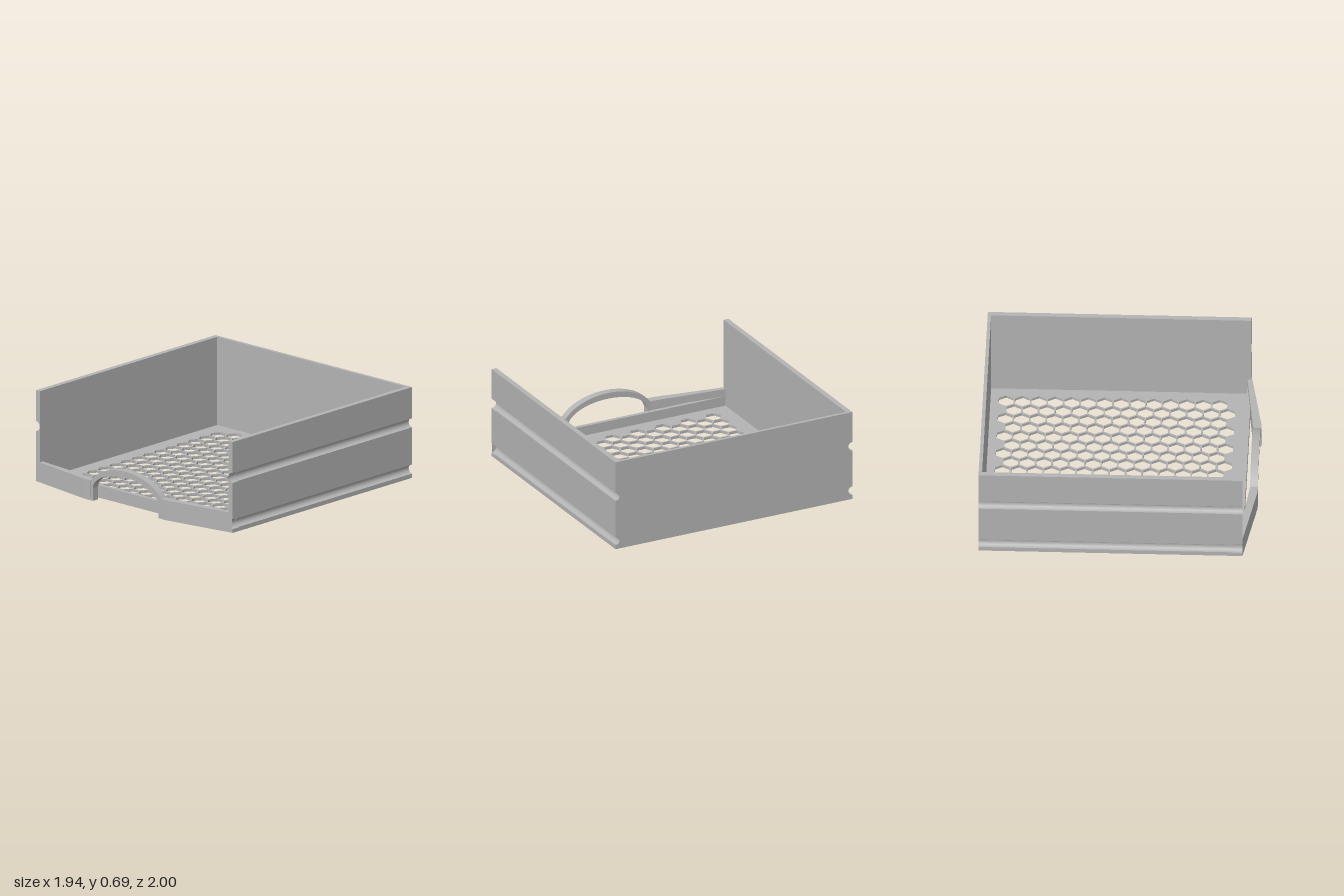
import * as THREE from 'three';

const H = 0.685, OUT = 0.97, INN = 0.93, BACK = -1, FRONT = 0.91, FLOOR = 0.02;

export function createModel() {
  const group = new THREE.Group();
  const grey = new THREE.MeshStandardMaterial({ color: 0xb3b3b3 });
  grey.name = 'light grey';

  const add = (name, geometry) => {
    const mesh = new THREE.Mesh(geometry, grey);
    mesh.name = name;
    group.add(mesh);
    return mesh;
  };
  const box = (name, x0, x1, y0, y1, z0, z1) =>
    add(name, new THREE.BoxGeometry(x1 - x0, y1 - y0, z1 - z0))
      .position.set((x0 + x1) / 2, (y0 + y1) / 2, (z0 + z1) / 2);
  const extrude = (shape, depth) =>
    new THREE.ExtrudeGeometry(shape, { depth, bevelEnabled: false, curveSegments: 32 });
  const polygon = (pts) => new THREE.Shape(pts.map(([x, y]) => new THREE.Vector2(x, y)));

  // Floor with a honeycomb of holes (drawn in x, -z and laid flat)
  const floor = polygon([[-INN, -FRONT], [INN, -FRONT], [INN, -BACK], [-INN, -BACK]]);
  const R = 0.0617, px = 0.103, pz = 0.119;
  for (let c = 0; c < 16; c++) {
    for (let r = 0; r < 14; r++) {
      const x = -0.759 + c * px;
      const z = -0.8615 + r * pz + (c % 2 ? 0 : pz / 2);
      const pts = [];
      for (let k = 0; k < 6; k++) {
        const a = -k * Math.PI / 3;
        pts.push(new THREE.Vector2(x + R * Math.cos(a), -z + R * Math.sin(a)));
      }
      floor.holes.push(new THREE.Path(pts));
    }
  }
  add('honeycombFloor', extrude(floor, FLOOR).rotateX(-Math.PI / 2));

  // Back wall and the low sill at the front of the floor
  box('backWall', -INN, INN, FLOOR, H, BACK, BACK + 0.025);
  box('frontSill', -INN, INN, FLOOR, 0.093, 0.88, FRONT);

  // Side wall section with two round rail grooves
  const wallSection = (side, r) => {
    const pts = [[INN, 0], [OUT, 0]];
    for (const y of [0.066, 0.415]) {
      for (let k = 0; k <= 16; k++) {
        const a = -Math.PI / 2 + k * Math.PI / 16;
        pts.push([OUT - r * Math.cos(a), y + r * Math.sin(a)]);
      }
    }
    pts.push([OUT, H], [INN, H]);
    return polygon(pts.map(([x, y]) => [x * side, y]));
  };

  for (const side of [1, -1]) {
    const label = side > 0 ? 'left' : 'right';
    // Grooves widen slightly at the front end
    add(label + 'Wall', extrude(wallSection(side, 0.034), 0.84 - BACK).translate(0, 0, BACK));
    add(label + 'WallFrontEnd', extrude(wallSection(side, 0.038), FRONT - 0.84).translate(0, 0, 0.84));

    // Low front panel, angled outward to the handle
    const plan = [[0.967, 0.91], [0.4, 1], [0.345, 1], [0.345, 0.943], [INN, 0.88], [INN, 0.91]];
    add(label + 'FrontPanel',
      extrude(polygon(plan.map(([x, z]) => [x * side, -z])), 0.15).rotateX(-Math.PI / 2));
  }

  // Arched handle bridging the front panels
  const arch = new THREE.Shape();
  const a0 = Math.asin(0.09 / 0.225);
  arch.moveTo(0.325, 0);
  arch.lineTo(0.345, 0);
  arch.lineTo(0.345, 0.15);
  arch.absellipse(0, 0.06, 0.376, 0.225, a0, Math.PI - a0, false);
  arch.lineTo(-0.345, 0);
  arch.lineTo(-0.325, 0);
  arch.lineTo(-0.325, 0.09);
  arch.absellipse(0, 0.09, 0.325, 0.15, Math.PI, 0, true);
  arch.lineTo(0.325, 0);
  add('archHandle', extrude(arch, 0.057).translate(0, 0, 0.943));

  return group;
}
